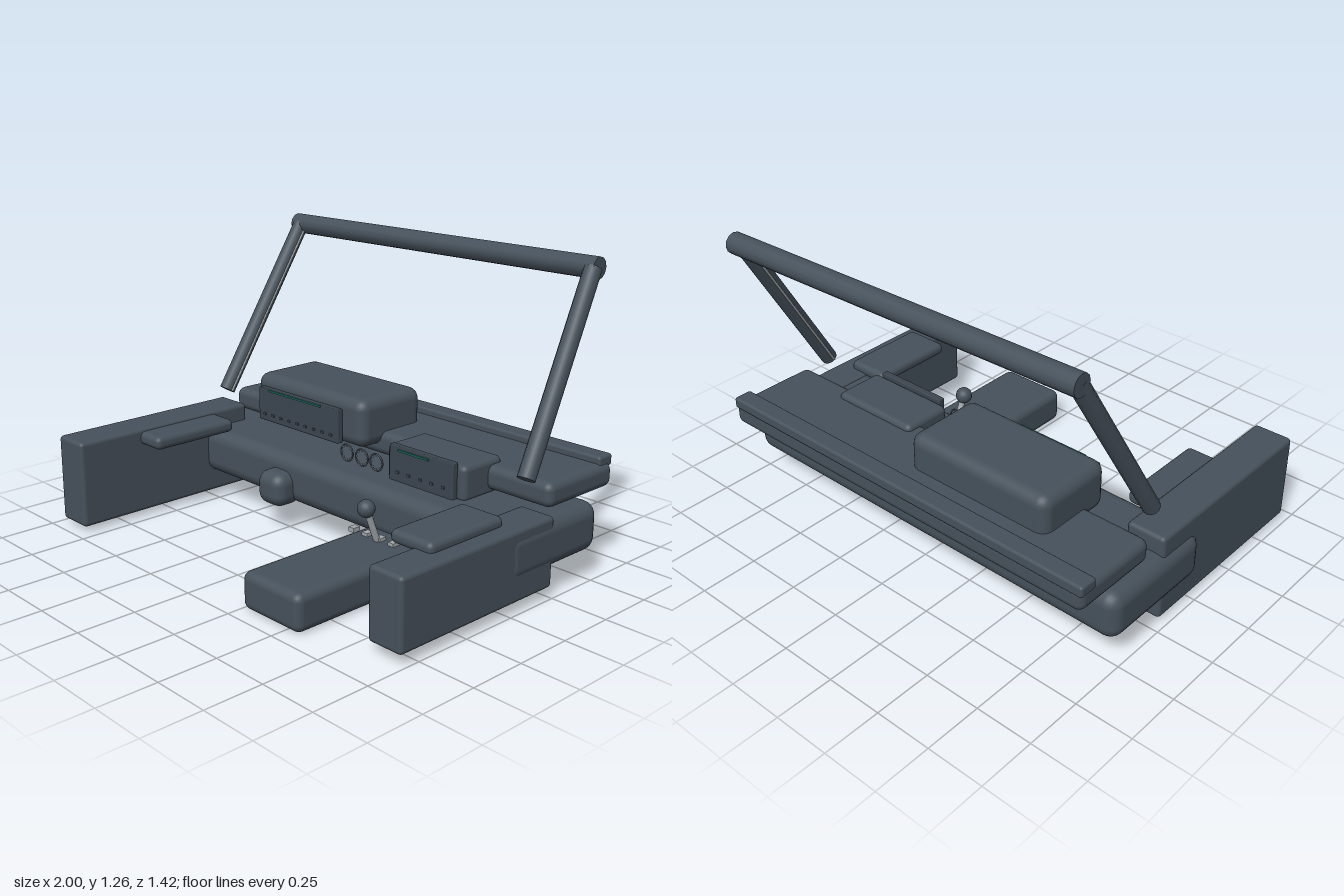
import * as THREE from 'three';
import { RoundedBoxGeometry } from 'three/addons/geometries/RoundedBoxGeometry.js';

const paint = (name, color) => {
  const m = new THREE.MeshStandardMaterial({ color });
  m.name = name;
  return m;
};

export function createModel() {
  const slate = paint('slate plastic', 0x46515b);
  const panel = paint('dark panel', 0x3c4650);
  const metal = paint('light metal', 0xa3a8ac);
  const teal = paint('teal display', 0x1c6a5e);
  const root = new THREE.Group();

  const add = (name, geo, mat, pos = [0, 0, 0]) => {
    const m = new THREE.Mesh(geo, mat);
    m.name = name;
    m.position.set(...pos);
    root.add(m);
    return m;
  };
  // box given by its limits on each axis, with an optional edge radius
  const block = (name, [x0, x1], [y0, y1], [z0, z1], r = 0, mat = slate) => {
    const size = [x1 - x0, y1 - y0, z1 - z0];
    const geo = r ? new RoundedBoxGeometry(...size, 3, r) : new THREE.BoxGeometry(...size);
    return add(name, geo, mat, [(x0 + x1) / 2, (y0 + y1) / 2, (z0 + z1) / 2]);
  };
  // round bar between two points
  const bar = (name, a, b, r, mat = slate, sides = 12) => {
    const p = new THREE.Vector3(...a), q = new THREE.Vector3(...b);
    const d = q.clone().sub(p);
    const m = add(name, new THREE.CylinderGeometry(r, r, d.length(), sides), mat);
    m.position.copy(p).add(q).multiplyScalar(0.5);
    m.quaternion.setFromUnitVectors(new THREE.Vector3(0, 1, 0), d.normalize());
    return m;
  };

  // dashboard
  block('lowerDash', [-1, 1], [0.12, 0.33], [-0.54, 0.02], 0.06);
  block('upperDash', [-0.955, 0.95], [0.34, 0.445], [-0.685, -0.275], 0.035);
  block('rearLedge', [-0.965, 0.935], [0.425, 0.475], [-0.695, -0.61], 0.012);
  block('instrumentHood', [-0.66, 0.04], [0.385, 0.6], [-0.53, -0.16], 0.05);
  block('centreHousing', [0.21, 0.64], [0.315, 0.47], [-0.365, -0.135], 0.025);
  block('steeringStub', [-0.365, -0.205], [0.11, 0.265], [-0.05, 0.105], 0.055);

  // instrument plates with display line and buttons
  const cluster = (name, [x0, x1], [y0, y1], z, [l0, l1], lineY, dotY, dots) => {
    block(name + 'Plate', [x0, x1], [y0, y1], [z - 0.03, z], 0.004, panel);
    block(name + 'Display', [l0, l1], [lineY - 0.004, lineY + 0.004], [z, z + 0.007], 0, teal);
    for (let i = 0; i < dots; i++) {
      const x = x0 + (x1 - x0) * (i + 0.8) / (dots + 0.6);
      block(name + 'Button', [x - 0.007, x + 0.007], [dotY - 0.005, dotY + 0.005], [z, z + 0.006], 0, slate);
    }
  };
  cluster('instrument', [-0.605, -0.08], [0.395, 0.547], -0.13, [-0.53, -0.19], 0.541, 0.427, 9);
  cluster('centre', [0.25, 0.6], [0.32, 0.482], -0.11, [0.3, 0.47], 0.465, 0.37, 5);

  // three ring gauges
  for (const x of [0.025, 0.115, 0.2]) {
    add('gaugeRing', new THREE.TorusGeometry(0.036, 0.004, 6, 24), slate, [x, 0.393, -0.085]);
    for (let i = 0; i < 8; i++) {
      const a = i * Math.PI / 4;
      add('gaugeTick', new THREE.BoxGeometry(0.006, 0.006, 0.006), metal,
        [x + 0.029 * Math.cos(a), 0.393 + 0.029 * Math.sin(a), -0.085]);
    }
  }

  // tunnel and gear lever
  block('tunnel', [0.25, 0.575], [0, 0.158], [-0.12, 0.685], 0.035);
  bar('leverRod', [0.395, 0.15, 0.1], [0.395, 0.3, 0.16], 0.014, metal);
  add('leverKnob', new THREE.SphereGeometry(0.037, 16, 12), slate, [0.395, 0.31, 0.165]);
  for (const x of [0.252, 0.328, 0.402, 0.475])
    block('tunnelSwitch', [x - 0.015, x + 0.015], [0.152, 0.172], [0.073, 0.108], 0, metal);

  // doors and armrests
  block('rightDoor', [-0.975, -0.8], [0.022, 0.408], [-0.212, 0.705], 0.018);
  block('leftDoor', [0.83, 0.995], [0.045, 0.34], [-0.252, 0.588], 0.018);
  block('rightArmrest', [-0.88, -0.67], [0.335, 0.395], [-0.033, 0.395], 0.025);
  block('leftArmrest', [0.715, 0.925], [0.322, 0.378], [-0.035, 0.368], 0.025);

  // windscreen frame: header, two posts and their inner trims
  bar('header', [-0.875, 1.219, -0.617], [0.84, 1.219, -0.665], 0.046);
  const posts = [['right', [-0.865, 0.475, -0.15], [-0.84, 1.22, -0.605], 1],
    ['left', [0.895, 0.475, -0.19], [0.82, 1.22, -0.65], -1]];
  for (const [side, a, b, s] of posts) {
    bar(side + 'Post', a, b, 0.037);
    const inward = ([x, y, z]) => [x + s * 0.036, y, z];
    bar(side + 'Trim', inward(a), inward(b), 0.005, metal, 6);
  }
  return root;
}
